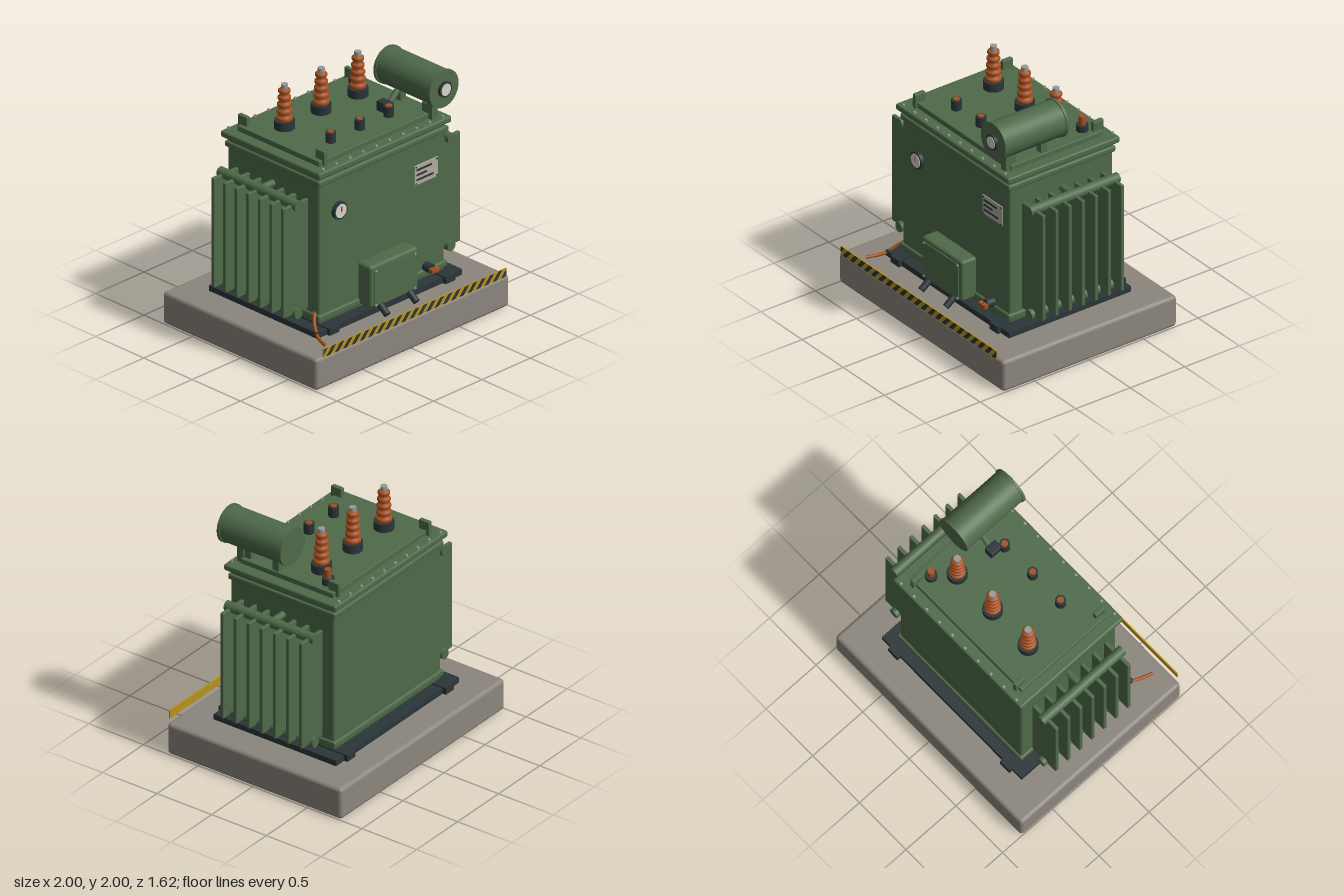
import * as THREE from 'three';
import { RoundedBoxGeometry } from 'three/addons/geometries/RoundedBoxGeometry.js';

const mat = (name, color, side = THREE.FrontSide) => {
  const m = new THREE.MeshStandardMaterial({ color, side });
  m.name = name;
  return m;
};

export function createModel() {
  const green = mat('green paint', 0x4f6a4a);
  const concrete = mat('concrete', 0x8c867d);
  const dark = mat('dark iron', 0x2b3538);
  const orange = mat('porcelain and copper', 0xa8501f);
  const metal = mat('bare metal', 0x9a9b98);
  const yellow = mat('warning yellow', 0xb8921e);
  const dial = mat('dial white', 0xd6d4ca);
  const plateGrey = mat('plate silver', 0xb0aca0);

  const root = new THREE.Group();
  root.name = 'transformer';

  const add = (name, geo, m, x = 0, y = 0, z = 0, parent = root) => {
    const mesh = new THREE.Mesh(geo, m);
    mesh.name = name;
    mesh.position.set(x, y, z);
    parent.add(mesh);
    return mesh;
  };
  // Box given by its limits, with optional rounded edges
  const block = (name, m, [x0, x1], [y0, y1], [z0, z1], r = 0) => {
    const s = [x1 - x0, y1 - y0, z1 - z0];
    const geo = r ? new RoundedBoxGeometry(...s, 3, r) : new THREE.BoxGeometry(...s);
    return add(name, geo, m, (x0 + x1) / 2, (y0 + y1) / 2, (z0 + z1) / 2);
  };
  // Upright cylinder from y0 to y1
  const post = (name, m, r, x, z, y0, y1, sides = 24) =>
    add(name, new THREE.CylinderGeometry(r, r, y1 - y0, sides), m, x, (y0 + y1) / 2, z);
  // Cylinder along z from z0 to z1
  const drum = (name, m, r, x, y, z0, z1, sides = 40) => {
    const c = add(name, new THREE.CylinderGeometry(r, r, z1 - z0, sides), m, x, y, (z0 + z1) / 2);
    c.rotation.x = Math.PI / 2;
    return c;
  };
  // Round bar between two points
  const bar = (name, m, r, a, b, sides = 20) => {
    const p = new THREE.Vector3(...a), q = new THREE.Vector3(...b);
    const c = add(name, new THREE.CylinderGeometry(r, r, p.distanceTo(q), sides), m);
    c.position.copy(p).add(q).multiplyScalar(0.5);
    c.quaternion.setFromUnitVectors(new THREE.Vector3(0, 1, 0), q.sub(p).normalize());
    return c;
  };

  // Plinth and skid
  block('plinth', concrete, [-1, 1], [0, 0.26], [-0.81, 0.787], 0.03);
  block('skidPlate', dark, [-0.75, 0.75], [0.255, 0.305], [-0.575, 0.545]);
  for (const x of [-0.6, 0.6]) block('skidRunner', dark, [x - 0.05, x + 0.05], [0.255, 0.315], [-0.605, 0.575]);

  // Tank, flanges and lid
  const slab = (name, w, y0, y1, d, r) => block(name, green, [-w, w], [y0, y1], [-0.01 - d, -0.01 + d], r);
  slab('tank', 0.65, 0.305, 1.53, 0.475, 0.02);
  slab('bottomFlange', 0.665, 0.335, 0.39, 0.492, 0.015);
  slab('topFlange', 0.665, 1.437, 1.487, 0.492, 0.015);
  slab('lid', 0.686, 1.515, 1.567, 0.514, 0.015);
  slab('coverPlate', 0.6, 1.56, 1.608, 0.425, 0.006);
  for (const z of [-0.503, 0.478])
    for (let i = 0; i < 10; i++) post('lidBolt', metal, 0.011, -0.62 + i * 0.1375, z, 1.56, 1.582, 6);
  for (const x of [-0.55, 0.55])
    for (const z of [-0.415, 0.388])
      block('liftingLug', green, [x - 0.018, x + 0.018], [1.565, 1.682], [z - 0.047, z + 0.047], 0.006);

  // High voltage bushings: stacked sheds on a tapering core
  const profile = [new THREE.Vector2(0.045, 1.66)];
  for (let i = 0; i < 5; i++) {
    const y = 1.692 + i * 0.055, r = 0.062 - i * 0.004, core = 0.043 - i * 0.003;
    for (const [pr, py] of [[core, -0.017], [r - 0.004, -0.014], [r, -0.008], [r, 0.008], [r - 0.004, 0.013], [core, 0.019]])
      profile.push(new THREE.Vector2(pr, y + py));
  }
  profile.push(new THREE.Vector2(0.03, 1.933), new THREE.Vector2(0, 1.933));
  const sheds = new THREE.LatheGeometry(profile, 28);
  for (const x of [-0.38, 0, 0.38]) {
    post('bushingBase', dark, 0.077, x, -0.165, 1.6, 1.675);
    add('bushingInsulator', sheds, orange, x, 0, -0.165);
    post('bushingTerminal', metal, 0.027, x, -0.165, 1.925, 1.967, 16);
  }

  // Low voltage bushings and the filler
  for (const x of [-0.3, 0, 0.3]) {
    post('lowVoltageBase', dark, 0.041, x, 0.235, 1.6, 1.688, 12);
    post('lowVoltageTerminal', orange, 0.025, x, 0.235, 1.68, 1.695, 16);
  }
  post('fillerBase', dark, 0.047, 0.5, -0.315, 1.6, 1.66);
  post('fillerCap', orange, 0.026, 0.5, -0.315, 1.65, 1.73, 16);

  // Conservator drum with supports, relay, pipe and level gauge
  drum('conservator', green, 0.143, 0.56, 1.845, -0.025, 0.54);
  for (const z of [-0.035, 0.525]) drum('conservatorRim', green, 0.151, 0.56, 1.845, z, z + 0.022);
  for (const z of [0.1, 0.425]) block('conservatorSupport', green, [0.53, 0.587], [1.56, 1.74], [z - 0.027, z + 0.027]);
  block('relay', dark, [0.3, 0.375], [1.6, 1.685], [0.105, 0.205], 0.006);
  bar('conservatorPipe', green, 0.024, [0.345, 1.61, 0.155], [0.5, 1.76, 0.155]);
  drum('levelGaugeRim', dark, 0.062, 0.56, 1.845, 0.545, 0.568);
  drum('levelGaugeFace', dial, 0.048, 0.56, 1.845, 0.566, 0.572);

  // Radiators on both sides
  for (const s of [-1, 1]) {
    for (let i = 0; i < 7; i++) {
      const z = -0.013 + (i - 3) * 0.12;
      const fin = new RoundedBoxGeometry(0.255, 0.895, 0.03, 2, 0.006);
      add('radiatorFin', fin, green, s * 0.788, 0.863, z);
    }
    for (const y of [0.425, 1.305]) {
      drum('radiatorHeader', green, 0.04, s * 0.79, y, -0.42, 0.395, 24);
      bar('radiatorPipe', green, 0.028, [s * 0.63, y, -0.013], [s * 0.79, y, -0.013]);
    }
  }

  // Cable box with door, screws and glands
  block('cableBox', green, [-0.247, 0.247], [0.343, 0.685], [0.45, 0.598], 0.025);
  block('cableBoxDoor', green, [-0.212, 0.212], [0.355, 0.652], [0.59, 0.607]);
  for (const x of [-0.203, 0.203])
    for (const y of [0.365, 0.643]) drum('doorScrew', metal, 0.01, x, y, 0.6, 0.612, 8);
  for (const x of [-0.15, 0.15]) bar('cableGland', dark, 0.027, [x, 0.365, 0.575], [x, 0.292, 0.672]);

  // Thermometer
  drum('thermometerRim', dark, 0.069, -0.453, 1.185, 0.46, 0.494);
  drum('thermometerFace', dial, 0.055, -0.453, 1.185, 0.49, 0.498);
  block('thermometerNeedle', orange, [-0.458, -0.448], [1.18, 1.222], [0.496, 0.502]);

  // Rating plate with plain bars and screws
  block('ratingPlate', plateGrey, [0.332, 0.572], [1.105, 1.263], [0.463, 0.472]);
  [[1.225, 0.16], [1.185, 0.105], [1.145, 0.175]].forEach(([y, w]) =>
    block('ratingPlateBar', dark, [0.348, 0.348 + w], [y - 0.008, y + 0.008], [0.47, 0.475]));
  for (const x of [0.344, 0.56])
    for (const y of [1.117, 1.251]) drum('ratingPlateScrew', dark, 0.007, x, y, 0.47, 0.477, 8);

  // Drain valve
  drum('drainValve', dark, 0.037, 0.45, 0.407, 0.46, 0.535, 20);
  drum('drainStem', dark, 0.016, 0.45, 0.407, 0.53, 0.56, 12);
  block('drainHandle', orange, [0.41, 0.49], [0.392, 0.422], [0.537, 0.575]);

  // Earthing strap
  const strap = new THREE.CatmullRomCurve3([
    [-0.64, 0.4, 0.41], [-0.7, 0.345, 0.465], [-0.745, 0.285, 0.54], [-0.77, 0.272, 0.6], [-0.8, 0.27, 0.69],
  ].map((p) => new THREE.Vector3(...p)));
  add('earthStrap', new THREE.TubeGeometry(strap, 24, 0.013, 10), orange);

  // Warning strip with slanted stripes on the front
  const L = 0.946, y0 = 0.27, y1 = 0.337, slant = 0.06, pitch = 0.086;
  block('warningStrip', yellow, [-L, L], [y0, y1], [0.798, 0.808]);
  const clampX = (x) => Math.min(L, Math.max(-L, x));
  for (let x = -L - slant; x < L; x += pitch) {
    // Clip each slanted stripe to the ends of the strip
    const edge = (bx) => {
      const a = clampX(bx), b = clampX(bx + slant);
      const at = (px) => y0 + ((px - bx) / slant) * (y1 - y0);
      return [[a, at(a)], [b, at(b)]];
    };
    const [l0, l1] = edge(x), [r0, r1] = edge(Math.min(x + pitch / 2, L - 0.001));
    const pts = [l0, [r0[0], r0[1]], r1, r1[1] < y1 - 1e-6 ? [L, y1] : r1, l1];
    if (l0[1] > y0 + 1e-6 && r0[1] <= y0 + 1e-6) pts.splice(1, 0, [-L, y0]);
    const shape = new THREE.Shape(pts.map((p) => new THREE.Vector2(...p)));
    add('warningStripe', new THREE.ShapeGeometry(shape), dark, 0, 0, 0.8095);
  }
  return root;
}
